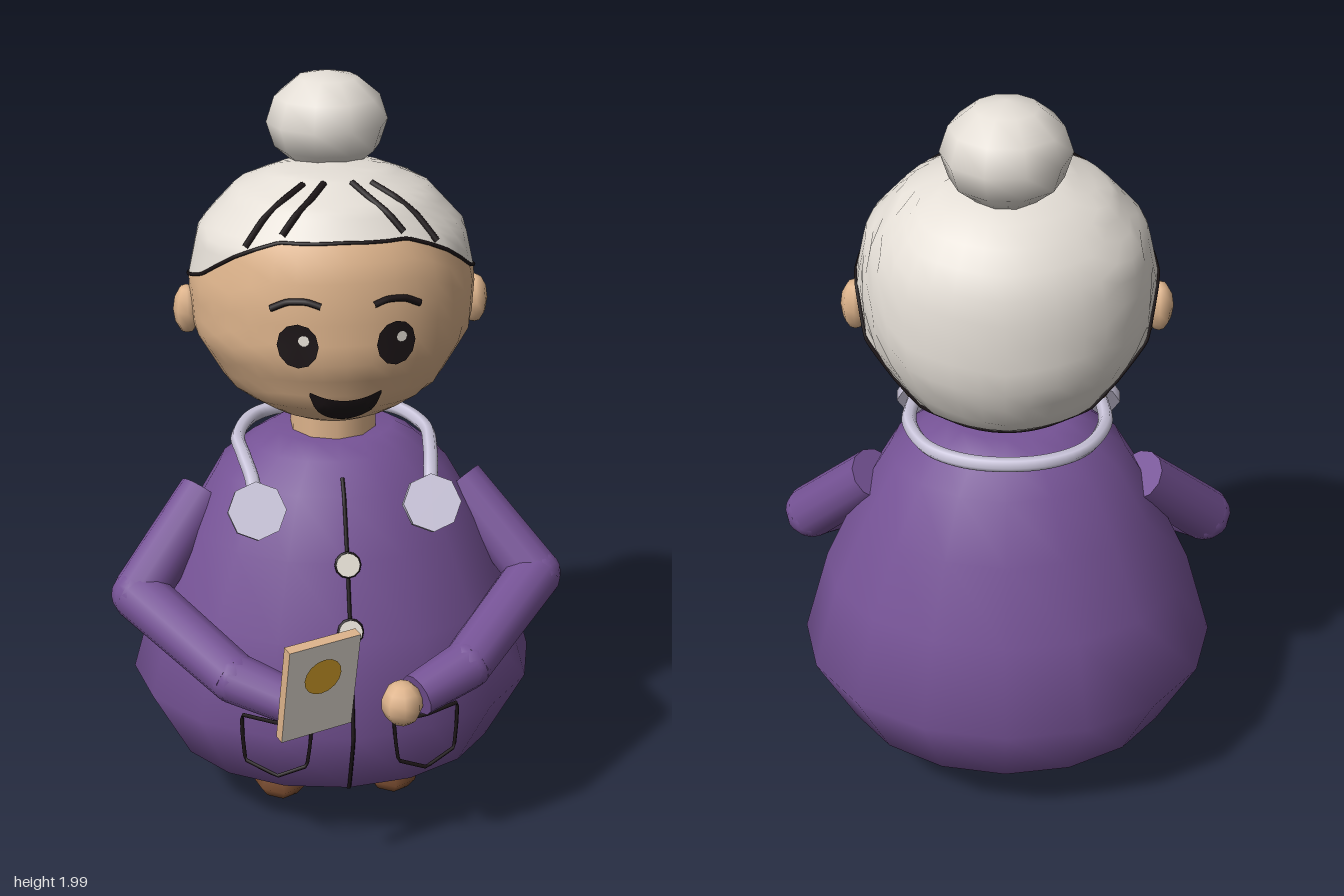
import * as THREE from 'three';

const mat = (name, color) => {
  const m = new THREE.MeshStandardMaterial({ color });
  m.name = name;
  return m;
};

// Linear interpolation in a table of [key, value] rows
function lookup(table, k) {
  let i = 0;
  while (i < table.length - 2 && table[i + 1][0] < k) i++;
  const [a, b] = [table[i], table[i + 1]];
  return THREE.MathUtils.lerp(a[1], b[1], THREE.MathUtils.clamp((k - a[0]) / (b[0] - a[0]), 0, 1));
}

// Front surface z at (x, y) of a faceted round form with n sides
function frontZ(form, x, y) {
  const r = lookup(form.profile, y), s = (Math.PI * 2) / form.n, ax = Math.min(Math.abs(x), r * 0.98);
  let i = 0;
  while (r * Math.sin((i + 1) * s) < ax && (i + 1) * s < Math.PI / 2) i++;
  const x0 = r * Math.sin(i * s), x1 = r * Math.sin((i + 1) * s);
  const z = THREE.MathUtils.lerp(Math.cos(i * s), Math.cos((i + 1) * s), (ax - x0) / (x1 - x0));
  return form.cz + lookup(form.depth, y) * r * z;
}

// [height, radius] profiles and [height, depth factor] tables
const BODY = { n: 16, cz: -0.106, depth: [[0, 0.855], [2, 0.855]], profile: [[0.15, 0.3], [0.19, 0.44], [0.39, 0.547],
  [0.63, 0.48], [0.83, 0.39], [0.98, 0.305], [1.05, 0.22], [1.085, 0.16]] };
const HEAD = { n: 36, cz: -0.125, depth: [[1.13, 1.15], [1.28, 1], [1.45, 0.935], [1.79, 0.95]],
  profile: [[1.13, 0], [1.132, 0.1], [1.152, 0.16], [1.19, 0.222], [1.23, 0.28], [1.37, 0.362], [1.5, 0.37],
    [1.63, 0.342], [1.73, 0.25], [1.78, 0.13], [1.79, 0]] };
// Hairline height by angle from the front
const HAIRLINE = [[0, 1.665], [30, 1.66], [45, 1.63], [72, 1.535], [100, 1.49], [115, 1.32], [135, 1.19], [180, 1.165]];

export function createModel() {
  const root = new THREE.Group();
  const coat = mat('coat purple', 0x765396), skin = mat('skin', 0xdeb48c), hair = mat('hair grey', 0xe4ded6);
  const dark = mat('line black', 0x1c1517), shoe = mat('shoe brown', 0x764a2e), metal = mat('pale lavender', 0xcdc8de);
  const cream = mat('button cream', 0xeee8de), paper = mat('cover grey', 0xe0d9d0), gold = mat('gold', 0xdda62c);

  const add = (name, geo, material, parent = root) => {
    const m = new THREE.Mesh(geo, material);
    m.name = name;
    parent.add(m);
    return m;
  };
  const ball = (name, material, p, s, w = 10, h = 8) => {
    const m = add(name, new THREE.SphereGeometry(1, w, h), material);
    m.position.set(...p);
    m.scale.set(...s);
    return m;
  };
  const tube = (name, material, pts, r, tension = 0.3, closed = false) => {
    const c = new THREE.CatmullRomCurve3(pts.map(p => new THREE.Vector3(...p)), closed, 'catmullrom', tension);
    return add(name, new THREE.TubeGeometry(c, pts.length * 5, r, 6, closed), material);
  };
  const limb = (name, material, a, b, ra, rb, sides = 12) => {
    const A = new THREE.Vector3(...a), B = new THREE.Vector3(...b);
    const m = add(name, new THREE.CylinderGeometry(rb, ra, A.distanceTo(B), sides), material);
    m.position.copy(A).add(B).multiplyScalar(0.5);
    m.quaternion.setFromUnitVectors(new THREE.Vector3(0, 1, 0), B.sub(A).normalize());
    return m;
  };
  // Lay 2D points on a form
  const on = (form, pts) => pts.map(([x, y]) => [x, y, frontZ(form, x, y) + 0.003]);
  // Press a flat geometry onto the face
  const press = (geo, off) => {
    const p = geo.attributes.position;
    for (let i = 0; i < p.count; i++) p.setZ(i, frontZ(HEAD, p.getX(i), p.getY(i)) + off);
    geo.computeVertexNormals();
    return geo;
  };

  // Coat body
  const bodyPts = [new THREE.Vector2(0, 0.15), ...BODY.profile.map(([y, r]) => new THREE.Vector2(r, y)), new THREE.Vector2(0, 1.09)];
  const body = add('coatBody', new THREE.LatheGeometry(bodyPts, BODY.n), coat);
  body.scale.z = BODY.depth[0][1];
  body.position.z = BODY.cz;

  // Head: skin below the hairline, hair above it
  const headPoint = (theta, j) => {
    const y = 1.46 - 0.33 * Math.cos(theta), r = lookup(HEAD.profile, y), a = (j / HEAD.n) * Math.PI * 2;
    return [r * Math.sin(a), y, HEAD.cz + lookup(HEAD.depth, y) * r * Math.cos(a)];
  };
  const lineTheta = j => {
    const deg = (j / HEAD.n) * 360;
    return Math.acos((1.46 - lookup(HAIRLINE, Math.min(deg, 360 - deg))) / 0.33);
  };
  const headPatch = (from, to, rows = 14) => {
    const pos = [], idx = [], n = HEAD.n;
    for (let i = 0; i <= rows; i++)
      for (let j = 0; j < n; j++) pos.push(...headPoint(THREE.MathUtils.lerp(from(j), to(j), i / rows), j));
    for (let i = 0; i < rows; i++)
      for (let j = 0; j < n; j++) {
        const a = i * n + j, b = i * n + ((j + 1) % n);
        idx.push(a, b, a + n, b, b + n, a + n);
      }
    const g = new THREE.BufferGeometry();
    g.setAttribute('position', new THREE.Float32BufferAttribute(pos, 3));
    g.setIndex(idx);
    g.computeVertexNormals();
    return g;
  };
  add('face', headPatch(() => 0, lineTheta), skin);
  add('hair', headPatch(lineTheta, () => Math.PI), hair);
  tube('hairline', dark, Array.from({ length: HEAD.n }, (_, j) => headPoint(lineTheta(j), j)), 0.005, 0.2, true);
  ball('hairBun', hair, [0, 1.87, -0.225], [0.157, 0.13, 0.152], 10, 6);
  limb('neck', skin, [0, 1.05, -0.1], [0, 1.16, -0.1], 0.115, 0.115, 10);

  // Mouth
  const mouth = new THREE.PlaneGeometry(2, 1, 16, 3), mp = mouth.attributes.position;
  for (let i = 0; i < mp.count; i++) {
    const u = mp.getX(i), top = 1.262 + 0.024 * u * u;
    mp.setXY(i, u * 0.09, top - (0.5 - mp.getY(i)) * (0.012 + 0.064 * Math.pow(1 - u * u, 0.65)));
  }
  add('mouth', press(mouth, 0.012), dark);

  // Coat front seam and buttons
  tube('coatSeam', dark, on(BODY, [[0, 1.02], [0, 0.98], [0, 0.83], [0, 0.63], [0, 0.39], [0, 0.19], [0, 0.165]]), 0.005, 0.1);
  for (const y of [0.83, 0.67]) {
    const b = new THREE.Group();
    b.name = 'button';
    b.position.set(0, y, frontZ(BODY, 0, y) + 0.009);
    b.rotation.x = -0.33;
    add('buttonDisc', new THREE.CylinderGeometry(0.03, 0.03, 0.012, 12).rotateX(Math.PI / 2), cream, b);
    add('buttonRim', new THREE.TorusGeometry(0.031, 0.004, 6, 12), dark, b);
    root.add(b);
  }

  // Mirrored parts
  for (const [s, side] of [[1, 'left'], [-1, 'right']]) {
    const flip = pts => pts.map(([x, ...rest]) => [s * x, ...rest]);
    ball(side + 'Ear', skin, [s * 0.375, 1.41, -0.13], [0.036, 0.066, 0.047], 8, 6);

    // Eye, glint and brow
    add(side + 'Eye', press(new THREE.CircleGeometry(1, 12).scale(0.05, 0.057, 1).translate(s * 0.122, 1.42, 0), 0.014), dark);
    add(side + 'EyeGlint', press(new THREE.CircleGeometry(0.014, 10).translate(s * 0.122 + 0.014, 1.435, 0), 0.018), cream);
    tube(side + 'Brow', dark, on(HEAD, flip([[0.065, 1.52], [0.1, 1.53], [0.145, 1.527], [0.185, 1.508]])), 0.009);

    // Parted strands
    tube(side + 'OuterStrand', dark, on(HEAD, flip([[0.238, 1.64], [0.19, 1.7], [0.14, 1.74], [0.085, 1.768]])), 0.009);
    tube(side + 'InnerStrand', dark, on(HEAD, flip([[0.15, 1.675], [0.115, 1.715], [0.075, 1.745], [0.035, 1.772]])), 0.009);

    // Arm
    const arm = flip([[0.345, 0.895, -0.115], [0.53, 0.675, 0.03], [0.3, 0.562, 0.31], [0.16, 0.525, 0.388]]);
    const thick = [0.068, 0.073, 0.066, 0.057];
    ['UpperSleeve', 'LowerSleeve', 'Cuff'].forEach((part, i) => {
      limb(side + part, coat, arm[i], arm[i + 1], thick[i], thick[i + 1]);
      if (i) ball(side + part + 'Joint', coat, arm[i], [thick[i], thick[i], thick[i]], 12, 10);
    });
    ball(side + 'Hand', skin, [s * 0.12, 0.512, 0.4], [0.055, 0.06, 0.058], 8, 7);

    // Leg and shoe
    limb(side + 'Leg', skin, [s * 0.155, 0.06, -0.105], [s * 0.155, 0.22, -0.105], 0.062, 0.062, 8);
    ball(side + 'Shoe', shoe, [s * 0.155, 0.057, -0.045], [0.083, 0.051, 0.115], 8, 4);

    // Pocket outline, hanging straight down from the widest part
    const pocket = [[0.107, 0.43], [0.195, 0.438], [0.282, 0.443], [0.281, 0.38], [0.275, 0.31], [0.195, 0.28], [0.12, 0.312], [0.112, 0.37]];
    tube(side + 'Pocket', dark, flip(pocket).map(([x, y]) => [x, y, frontZ(BODY, x, 0.4) + 0.01]), 0.005, 0.02, true);

    // Disc at the end of the neck cord
    const disc = add(side + 'CordDisc', new THREE.CylinderGeometry(0.075, 0.075, 0.032, 8), metal);
    disc.position.set(s * 0.225, 0.96, 0.165);
    disc.rotation.x = 1.1;
  }

  // Cord around the neck
  const half = [[0.225, 0.98, 0.145], [0.232, 1.025, 0.095], [0.245, 1.048, 0.0], [0.25, 1.055, -0.12], [0.2, 1.06, -0.24], [0.11, 1.06, -0.3]];
  tube('neckCord', metal, [...half, [0, 1.06, -0.318], ...half.map(([x, y, z]) => [-x, y, z]).reverse()], 0.019, 0.5);

  // Held booklet with an emblem oval
  const book = new THREE.Group();
  book.name = 'booklet';
  book.rotation.order = 'YXZ';
  book.rotation.set(0.17, 0.41, 0);
  book.position.set(-0.105, 0.632, 0.5);
  add('bookletBlock', new THREE.BoxGeometry(0.2, 0.275, 0.028), [skin, skin, skin, skin, paper, paper], book);
  const oval = add('bookletOval', new THREE.CircleGeometry(0.052, 16), gold, book);
  oval.position.set(0, 0.04, 0.017);
  root.add(book);

  return root;
}
